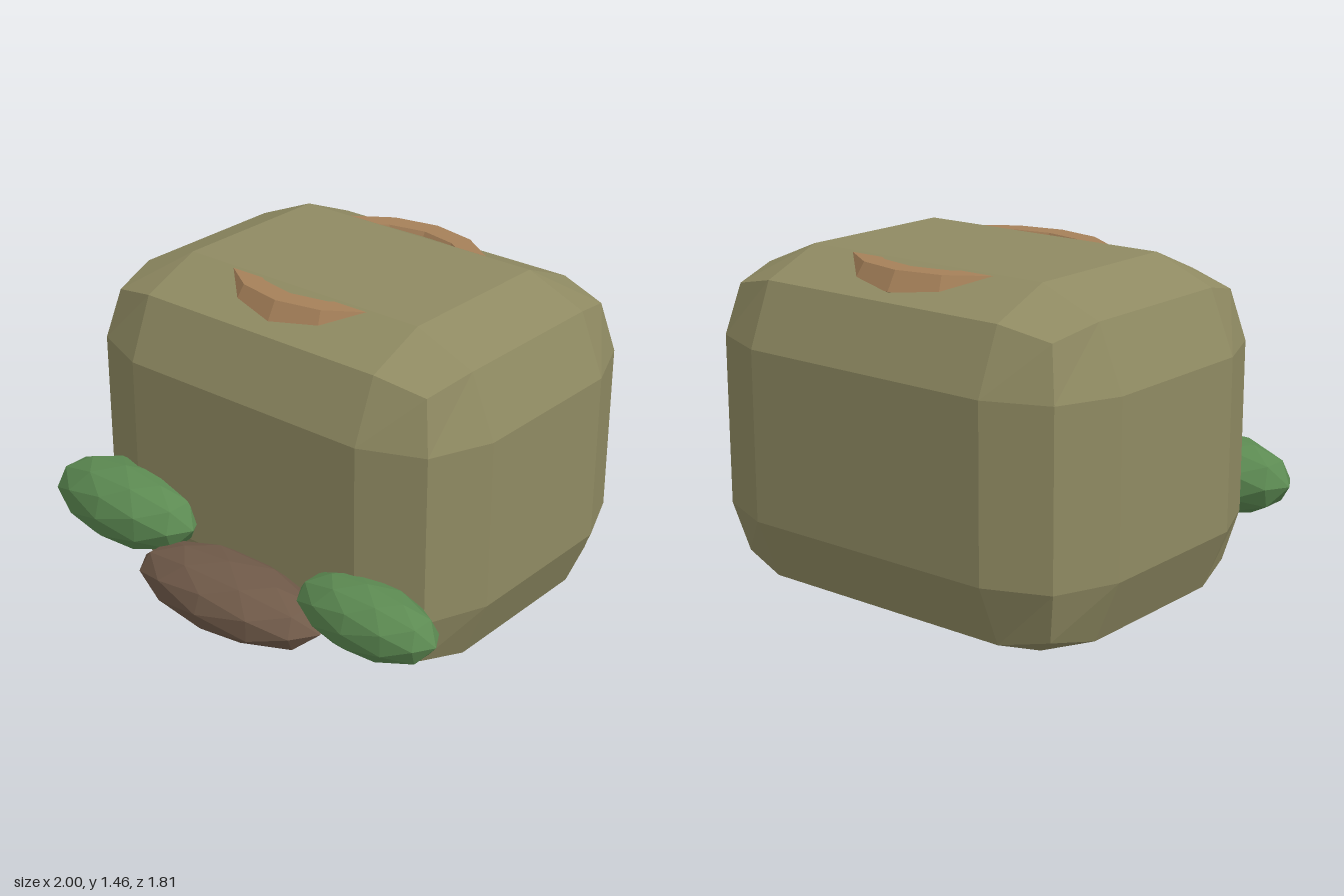
import * as THREE from 'three';
import { RoundedBoxGeometry } from 'three/addons/geometries/RoundedBoxGeometry.js';

function part(name, geometry, color, position) {
  const material = new THREE.MeshStandardMaterial({ color, flatShading: true });
  const mesh = new THREE.Mesh(geometry, material);
  mesh.name = name;
  mesh.position.set(...position);
  return mesh;
}

// Faceted ellipsoid, used for the bushes and the stone
function blob(name, color, position, radii) {
  const mesh = part(name, new THREE.IcosahedronGeometry(1, 1), color, position);
  mesh.scale.set(...radii);
  return mesh;
}

export function createModel() {
  const model = new THREE.Group();
  model.name = 'stump';

  // Chunky block with two-step bevels on every edge
  model.add(part('body', new RoundedBoxGeometry(1.91, 1.46, 1.47, 1, 0.37), 0x8f8a62, [-0.015, 0.73, -0.175]));

  // Ring sunk into the top, showing only over the front and back bevels
  const ring = new THREE.TorusGeometry(0.475, 0.09, 6, 16).rotateX(Math.PI / 2);
  model.add(part('topRing', ring, 0xa58059, [-0.015, 1.377, -0.18]));

  // Growth along the foot of the front
  model.add(
    blob('rightBush', 0x5c8a52, [-0.62, 0.455, 0.61], [0.38, 0.175, 0.19]),
    blob('leftBush', 0x5c8a52, [0.665, 0.405, 0.595], [0.335, 0.15, 0.16]),
    blob('stone', 0x705a49, [0.035, 0.305, 0.69], [0.475, 0.15, 0.21])
  );
  return model;
}
